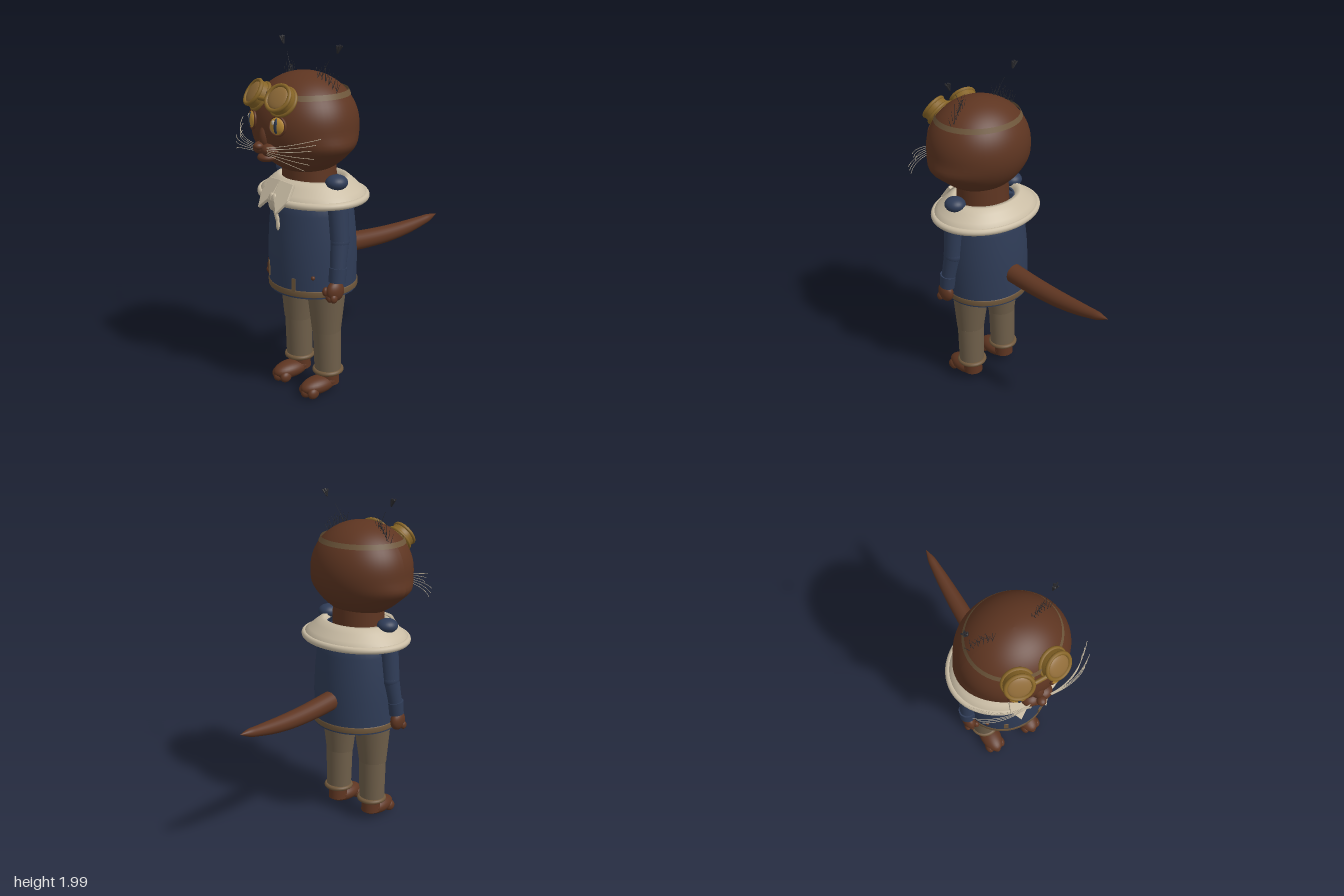
import * as THREE from 'three';

const V = (x, y, z) => new THREE.Vector3(x, y, z);
const mat = (name, color, double = false) => {
  const m = new THREE.MeshStandardMaterial({ color, side: double ? THREE.DoubleSide : THREE.FrontSide });
  m.name = name;
  return m;
};

export function createModel() {
  const fur = mat('brown fur', 0x5e3521);
  const navy = mat('navy cloth', 0x2f3c57, true);
  const cream = mat('cream cloth', 0xcabda5, true);
  const taupe = mat('taupe trousers', 0x6f5f4a);
  const trim = mat('worn trim', 0x6f573b, true);
  const brass = mat('brass', 0x866426);
  const lensMat = mat('amber lens', 0x8f6b38);
  const gold = mat('gold eye', 0xb98a35);
  const slate = mat('slate pupil', 0x2b3850);
  const dark = mat('dark hair', 0x2a2a2e);

  const root = new THREE.Group();
  root.name = 'catFigure';
  const add = (name, geo, material, pos = [0, 0, 0], scale = [1, 1, 1], parent = root) => {
    const m = new THREE.Mesh(geo, material);
    m.name = name;
    m.position.set(...pos);
    m.scale.set(...scale);
    parent.add(m);
    return m;
  };
  const ball = (name, material, pos, radii, parent = root) =>
    add(name, new THREE.SphereGeometry(1, 28, 18), material, pos, radii, parent);
  const lathe = (pts, seg = 48) =>
    new THREE.LatheGeometry(pts.map(p => new THREE.Vector2(...p)), seg);
  // tapered rod from a to b
  const rod = (name, material, a, b, r0, r1, seg = 20, parent = root) => {
    const d = b.clone().sub(a);
    const m = add(name, new THREE.CylinderGeometry(r1, r0, d.length(), seg), material,
      a.clone().add(b).multiplyScalar(0.5).toArray(), [1, 1, 1], parent);
    m.quaternion.setFromUnitVectors(V(0, 1, 0), d.normalize());
    return m;
  };
  // group whose +z points along the given direction
  const facing = (name, pos, dir) => {
    const g = new THREE.Group();
    g.name = name;
    g.position.set(...pos);
    g.quaternion.setFromUnitVectors(V(0, 0, 1), V(...dir).normalize());
    root.add(g);
    return g;
  };

  // head: ellipsoid with swollen cheeks
  const headGeo = new THREE.SphereGeometry(1, 56, 40);
  const hp = headGeo.attributes.position;
  for (let i = 0; i < hp.count; i++) {
    const x = hp.getX(i), y = hp.getY(i), z = hp.getZ(i);
    const cheek = 1 + 0.13 * x * x * Math.exp(-(((y + 0.4) / 0.2) ** 2));
    hp.setXYZ(i, 0.31 * x * cheek, 1.56 + 0.275 * y, 0.335 + 0.28 * z);
  }
  headGeo.computeVertexNormals();
  add('head', headGeo, fur);
  const headTop = (x, z) => 1.56 + 0.275 * Math.sqrt(Math.max(0, 1 - (x / 0.31) ** 2 - ((z - 0.335) / 0.28) ** 2));

  // muzzle
  ball('noseBridge', fur, [0, 1.515, 0.585], [0.035, 0.07, 0.045]);
  ball('nose', fur, [0, 1.472, 0.64], [0.026, 0.02, 0.028]);
  ball('chin', fur, [0, 1.405, 0.588], [0.05, 0.026, 0.052]);

  // neck
  add('neck', new THREE.CylinderGeometry(0.155, 0.16, 0.16, 36), fur, [0, 1.26, 0.31], [1, 1, 0.92]);

  // coat, hem and collar are oval lathes
  const oval = (name, geo, m) => add(name, geo, m, [0, 0, 0.295], [1, 1, 0.94]);
  oval('coat', lathe([[0.255, 0.62], [0.256, 0.7], [0.258, 0.82], [0.252, 0.95], [0.24, 1.08], [0.228, 1.16], [0.17, 1.24]]), navy);
  oval('hem', lathe([[0.256, 0.628], [0.261, 0.632], [0.261, 0.66], [0.257, 0.665]]), trim);
  ball('hips', fur, [0, 0.69, 0.3], [0.2, 0.12, 0.18]);
  add('collar', lathe([[0.955, 1.15], [0.93, 1.18], [0.86, 1.2], [0.74, 1.235], [0.64, 1.26], [0.57, 1.262], [0.53, 1.235]], 56),
    cream, [0, 0, 0.287], [0.345, 1, 0.287]);
  const rim = new THREE.TorusGeometry(0.325, 0.02, 12, 64);
  rim.rotateX(Math.PI / 2);
  add('collarRim', rim, cream, [0, 1.16, 0.287], [1, 1, 0.83]);

  // torn patches and studs on the coat
  const onCoat = (name, geo, m, x, y) => {
    const c = Math.sqrt(1 - (x / 0.257) ** 2);
    add(name, geo, m, [x, y, 0.295 + 0.242 * c]).rotation.y = Math.atan2(x / 0.257, c);
  };
  onCoat('leftPatch', new THREE.BoxGeometry(0.022, 0.075, 0.008), trim, 0.112, 0.695);
  onCoat('rightPatch', new THREE.BoxGeometry(0.026, 0.085, 0.008), trim, -0.113, 0.735);
  for (const x of [-0.2, 0.2]) onCoat('stud', new THREE.SphereGeometry(0.012, 10, 8), fur, x, 0.745);

  // tail: tapered lathe laid backwards and bent
  const taper = new THREE.SplineCurve([[0.058, 0], [0.056, 0.12], [0.05, 0.35], [0.041, 0.52], [0.03, 0.64], [0.022, 0.7], [0, 0.765]]
    .map(p => new THREE.Vector2(...p)));
  const tailGeo = new THREE.LatheGeometry(taper.getPoints(32), 28);
  tailGeo.rotateX(-Math.PI / 2);
  const tp = tailGeo.attributes.position;
  for (let i = 0; i < tp.count; i++) {
    const s = -tp.getZ(i) / 0.765;
    tp.setY(i, tp.getY(i) + 0.813 - 0.022 * Math.sin(Math.PI * s) + 0.02 * s ** 3);
  }
  tailGeo.computeVertexNormals();
  add('tail', tailGeo, fur, [0, 0, 0.098]);

  // goggle strap and bridge
  add('goggleStrap', new THREE.CylinderGeometry(0.247, 0.26, 0.028, 56, 1, true), trim, [0, 1.73, 0.335], [1, 1, 0.92]);
  rod('goggleBridge', brass, V(-0.04, 1.715, 0.6), V(0.04, 1.715, 0.6), 0.012, 0.012, 10);

  // hanging tie
  rod('tieCord', cream, V(0.012, 1.13, 0.56), V(0.015, 1.05, 0.54), 0.01, 0.012, 8);
  ball('tieEnd', cream, [0.016, 1.025, 0.54], [0.012, 0.035, 0.01]);

  for (const s of [-1, 1]) {
    // eye
    const eye = facing('eye', [s * 0.112, 1.59, 0.592], [s * 0.3, 0.08, 1]);
    ball('eyeball', gold, [0, 0, 0], [0.05, 0.048, 0.024], eye);
    ball('pupil', slate, [0, 0, 0.012], [0.015, 0.04, 0.0155], eye);
    ball('eyeGlint', cream, [-0.017, 0.016, 0.019], [0.011, 0.013, 0.006], eye);
    add('eyelid', new THREE.TorusGeometry(0.051, 0.007, 8, 32), fur, [0, 0, 0.004], [1, 0.96, 1], eye);

    // goggle cup
    const cup = facing('goggle', [s * 0.106, 1.722, 0.57], [s * 0.2, 0.55, 0.8]);
    add('cup', new THREE.CylinderGeometry(0.074, 0.08, 0.06, 36).rotateX(Math.PI / 2), brass, [0, 0, -0.008], [1, 1, 1], cup);
    add('cupBase', new THREE.TorusGeometry(0.077, 0.011, 10, 40), brass, [0, 0, -0.025], [1, 1, 1], cup);
    add('cupRim', new THREE.TorusGeometry(0.071, 0.011, 10, 40), brass, [0, 0, 0.022], [1, 1, 1], cup);
    ball('lens', lensMat, [0, 0, 0.022], [0.062, 0.062, 0.014], cup);

    // whisker pad and whiskers
    ball('whiskerPad', fur, [s * 0.037, 1.45, 0.59], [0.052, 0.036, 0.05]);
    for (let i = 0; i < 6; i++) {
      const end = 1.55 - i * 0.032;
      const curve = new THREE.QuadraticBezierCurve3(
        V(s * 0.06, 1.475 - i * 0.008, 0.63),
        V(s * 0.22, 1.5 - i * 0.014, 0.645), V(s * (0.35 - (i % 3) * 0.02), end, 0.5 + i * 0.015));
      add('whisker', new THREE.TubeGeometry(curve, 14, 0.0016, 4), cream);
    }

    // ear fringe and dark tip tuft
    for (let i = 0; i < 18; i++) {
      const t = i / 17, x = 0.11 + 0.12 * t, z = 0.335 - 0.04 * t + 0.01 * ((i % 3) - 1);
      const y = headTop(x, z) - 0.005, len = 0.045 + 0.012 * (i % 4);
      rod('earHair', dark, V(s * x, y, z), V(s * (x + 0.025 * Math.sin(i * 2.3)), y + len, z - 0.01), 0.002, 0.0006, 4);
    }
    rod('earLongHair', dark, V(s * 0.135, 1.82, 0.325), V(s * 0.185, 1.91, 0.31), 0.002, 0.0008, 4);
    for (let i = 0; i < 6; i++) {
      const k = i / 5 - 0.5;
      rod('earTip', dark, V(s * 0.234, 1.948, 0.297),
        V(s * (0.248 + 0.03 * k), 1.992 - 0.012 * Math.abs(k), 0.295 + 0.012 * Math.sin(i * 2)), 0.005, 0.0045, 6);
    }

    // lapel
    const pts = [[0, 0.085], [0.1, 0.085], [0.115, -0.005], [0.078, -0.085], [0.005, 0.0]];
    const lapelShape = new THREE.Shape(pts.map(([x, y]) => new THREE.Vector2(s * x, y)));
    const lapel = add('lapel', new THREE.ExtrudeGeometry(lapelShape, { depth: 0.012, bevelEnabled: true, bevelSize: 0.004, bevelThickness: 0.004, bevelSegments: 2 }),
      cream, [0, 1.185, 0.545]);
    lapel.rotation.set(-0.62, s * 0.12, 0);
    ball('collarKnot', cream, [s * 0.012, 1.15, 0.553], [0.028, 0.05, 0.02]);

    // arm
    const shoulder = V(s * 0.225, 1.2, 0.3), elbow = V(s * 0.25, 0.94, 0.305), wrist = V(s * 0.272, 0.76, 0.335);
    ball('shoulder', navy, [s * 0.225, 1.262, 0.3], [0.06, 0.042, 0.062]);
    rod('upperArm', navy, shoulder, elbow, 0.062, 0.055);
    ball('elbow', navy, elbow.toArray(), [0.055, 0.055, 0.056]);
    rod('forearm', navy, elbow, wrist, 0.054, 0.042);
    rod('sleeveCuff', navy, V(s * 0.27, 0.8, 0.33), V(s * 0.274, 0.72, 0.34), 0.05, 0.046);
    ball('hand', fur, [s * 0.276, 0.67, 0.355], [0.036, 0.058, 0.056]);
    for (let i = 0; i < 3; i++)
      ball('finger', fur, [s * (0.255 + i * 0.022), 0.638, 0.39 - Math.abs(i - 1) * 0.008], [0.016, 0.025, 0.022]);
    ball('thumb', fur, [s * 0.25, 0.67, 0.4], [0.017, 0.026, 0.02]);

    // leg
    const thigh = rod('thigh', taupe, V(s * 0.125, 0.7, 0.298), V(s * 0.132, 0.38, 0.305), 0.116, 0.08, 32);
    thigh.scale.z = 1.05;
    rod('shin', taupe, V(s * 0.132, 0.385, 0.302), V(s * 0.134, 0.13, 0.3), 0.078, 0.073, 32).scale.z = 1.08;
    const cuff = new THREE.TorusGeometry(0.076, 0.014, 10, 36);
    cuff.rotateX(Math.PI / 2);
    add('trouserCuff', cuff, trim, [s * 0.134, 0.135, 0.298]);

    // foot
    rod('ankle', fur, V(s * 0.134, 0.05, 0.29), V(s * 0.134, 0.16, 0.295), 0.058, 0.056);
    ball('heel', fur, [s * 0.134, 0.07, 0.295], [0.058, 0.045, 0.06]);
    ball('foot', fur, [s * 0.132, 0.058, 0.37], [0.065, 0.05, 0.115]);
    for (let i = -1; i <= 1; i++)
      ball('toe', fur, [s * 0.132 + i * 0.04, 0.036, 0.452 - Math.abs(i) * 0.018], [0.026, 0.033, 0.036]);
  }
  return root;
}
